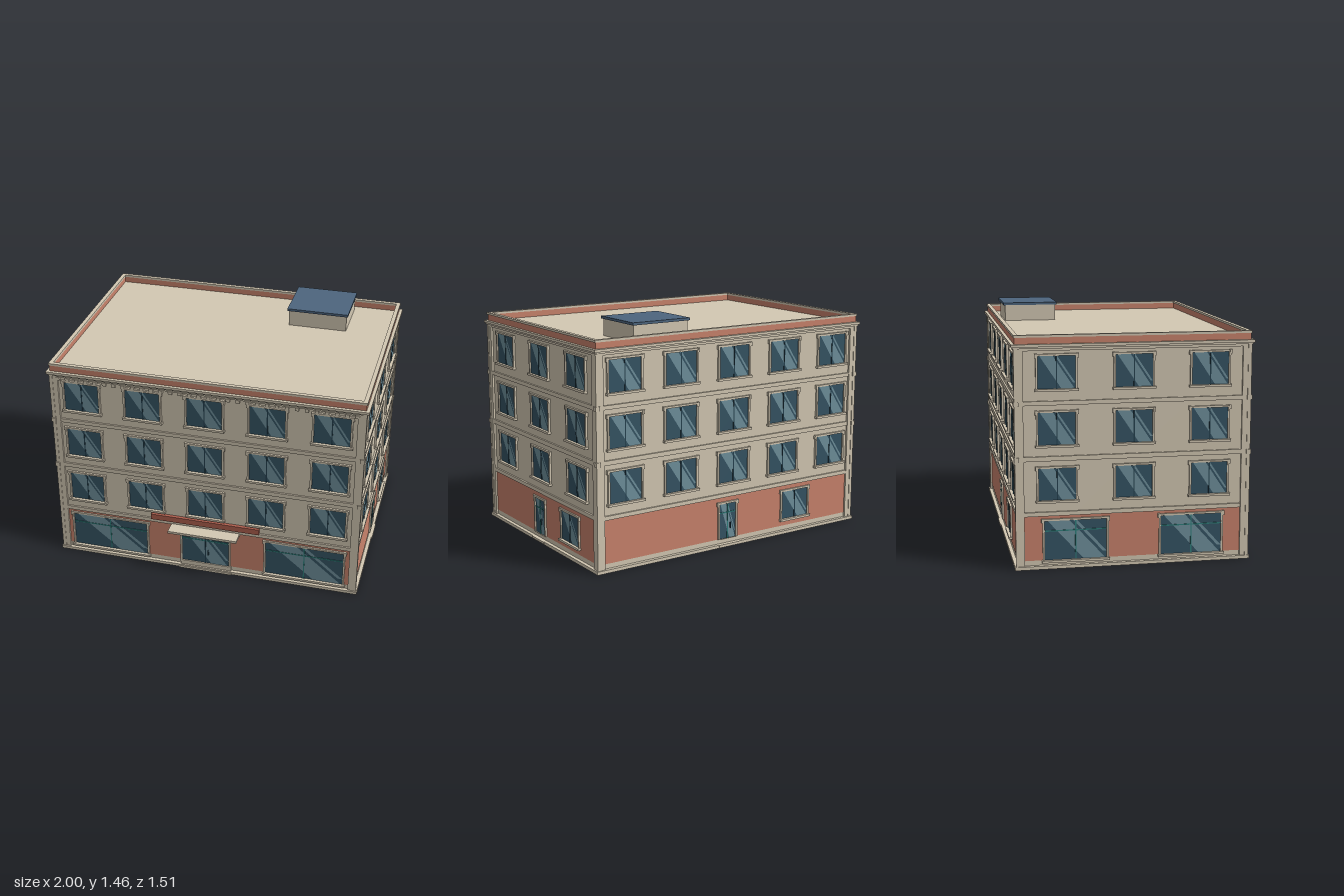
import * as THREE from 'three';

const mat = (color, side = THREE.FrontSide) => new THREE.MeshStandardMaterial({ color, side, flatShading: true });
const M = {
  stone: mat(0xd3c8b3), brick: mat(0xc9836c), sign: mat(0xb0604f), glass: mat(0x355464),
  shine: mat(0x6f909c), dark: mat(0x24404e), teal: mat(0x2f7f7c), blue: mat(0x4d657e),
};
const CZ = -0.037;            // centre of the building in z
const HX = 0.97, HZ = 0.69;   // half sizes of the wall planes

function add(parent, name, geo, material, x = 0, y = 0, z = 0) {
  const m = new THREE.Mesh(geo, material);
  m.name = name;
  m.position.set(x, y, z);
  parent.add(m);
  return m;
}

// box given by its centre x, bottom and top y, and back and front z
function block(parent, name, material, x, w, y0, y1, z0, z1) {
  return add(parent, name, new THREE.BoxGeometry(w, y1 - y0, z1 - z0), material, x, (y0 + y1) / 2, (z0 + z1) / 2);
}

// full slab of the plan, grown outwards from the wall planes
function slab(parent, name, material, grow, y0, y1) {
  return block(parent, name, material, 0, 2 * (HX + grow), y0, y1, CZ - HZ - grow, CZ + HZ + grow);
}

function poly(points) {
  return new THREE.Shape(points.map(([x, y]) => new THREE.Vector2(x, y)));
}
const rect = (w, h) => poly([[-w / 2, -h / 2], [w / 2, -h / 2], [w / 2, h / 2], [-w / 2, h / 2]]);

// rectangular ring lying flat on the roof
function ring(parent, name, material, grow, inset, y0, y1) {
  const s = rect(2 * (HX + grow), 2 * (HZ + grow));
  s.holes.push(rect(2 * (HX - inset), 2 * (HZ - inset)));
  const g = new THREE.ExtrudeGeometry(s, { depth: y1 - y0, bevelEnabled: false });
  g.rotateX(-Math.PI / 2);
  add(parent, name, g, material, 0, y0, CZ);
}

// framed pane: kind is 'window', 'shop', 'entrance' or 'door'
function opening(parent, kind, x, y0, w, h) {
  const o = new THREE.Group();
  o.name = kind;
  o.position.set(x, y0, 0);
  parent.add(o);
  block(o, 'glass', M.glass, 0, w, 0, h, 0, 0.005);

  // diagonal reflections
  const u = a => (a - 0.5) * w;
  const bands = [[0.05, 0.4], [0.46, 0.52]];
  for (const [a, b] of bands) {
    const reach = Math.min(0.58, 1 - b);
    const low = 1 - reach / 0.58;
    const s = poly([[u(a), h], [u(a + reach), low * h], [u(b + reach), low * h], [u(b), h]]);
    add(o, 'reflection', new THREE.ShapeGeometry(s), M.shine, 0, 0, 0.0065);
  }

  // surround with small ears at the top corners
  const t = 0.012;
  const s = poly([[-w / 2 - t, 0], [w / 2 + t, 0], [w / 2 + t, h + t], [-w / 2 - t, h + t]]);
  s.holes.push(poly([[-w / 2, 0.001], [-w / 2, h], [w / 2, h], [w / 2, 0.001]]));
  add(o, 'surround', new THREE.ExtrudeGeometry(s, { depth: 0.013, bevelEnabled: false }), M.stone);
  for (const side of [-1, 1]) block(o, 'surroundEar', M.stone, side * (w / 2 + t), 0.014, h - 0.012, h + t + 0.002, 0, 0.015);

  // glazing bars, sill and handle
  const glazed = kind === 'shop' || kind === 'door';
  block(o, 'mullion', glazed ? M.teal : M.dark, 0, 0.007, 0, h, 0, 0.009);
  if (kind !== 'window') block(o, 'transom', M.teal, 0, w, h * 0.73, h * 0.73 + 0.007, 0, 0.009);
  if (kind === 'window' || kind === 'shop') block(o, 'sill', M.stone, 0, w + 0.036, -0.013, 0.001, 0, 0.024);
  else block(o, 'handle', M.dark, 0.02, 0.005, h * 0.28, h * 0.45, 0.005, 0.014);
}

// wall face: local x runs along the wall, local z points outwards
function facade(parent, name, angle, x, z, columns) {
  const f = new THREE.Group();
  f.name = name;
  f.position.set(x, 0, z);
  f.rotation.y = angle;
  parent.add(f);
  for (const y of [0.413, 0.744, 1.075]) for (const c of columns) opening(f, 'window', c, y, 0.22, 0.193);
  return f;
}

export function createModel() {
  const building = new THREE.Group();
  building.name = 'building';

  // walls, plinth and storey bands
  slab(building, 'walls', M.stone, 0, 0.005, 1.32);
  slab(building, 'groundFloorWall', M.brick, 0.002, 0.05, 0.322);
  slab(building, 'plinth', M.stone, 0.023, 0, 0.02);
  for (const [y0, y1] of [[0.32, 0.345], [0.65, 0.678], [0.98, 1.005], [1.298, 1.318]]) {
    slab(building, 'storeyBand', M.stone, 0.011, y0, y1);
  }

  // corner pilasters with thicker collars at each storey
  for (const sx of [-1, 1]) for (const sz of [-1, 1]) {
    const corner = (label, size, out, y0, y1) => add(building, label, new THREE.BoxGeometry(size, y1 - y0, size), M.stone,
      sx * (HX + out - size / 2), (y0 + y1) / 2, CZ + sz * (HZ + out - size / 2));
    corner('cornerPilaster', 0.05, 0.013, 0.02, 1.31);
    corner('cornerEdge', 0.022, 0.016, 0.02, 1.31);
    for (const y of [0.65, 0.98]) corner('cornerCollar', 0.03, 0.021, y, y + 0.027);
  }

  // cornice, parapet and roof box
  slab(building, 'corniceLower', M.stone, 0.022, 1.312, 1.322);
  slab(building, 'cornice', M.stone, 0.03, 1.322, 1.338);
  ring(building, 'parapet', M.brick, 0.01, 0.008, 1.338, 1.38);
  ring(building, 'parapetCap', M.stone, 0.015, 0.011, 1.376, 1.39);
  block(building, 'roofBox', M.stone, 0.495, 0.38, 1.335, 1.442, -0.668, -0.33);
  block(building, 'roofBoxLid', M.blue, 0.495, 0.4, 1.442, 1.458, -0.68, -0.32);

  const five = [-0.785, -0.392, 0, 0.392, 0.785], three = [-0.457, 0, 0.457];

  // front: shop windows, entrance, canopy, sign board and dentils
  const front = facade(building, 'frontFacade', 0, 0, CZ + HZ, five);
  for (const x of [-0.645, 0.645]) opening(front, 'shop', x, 0.05, 0.5, 0.24);
  opening(front, 'entrance', -0.003, 0.05, 0.31, 0.24);
  block(front, 'entranceThreshold', M.stone, 0, 0.34, 0.02, 0.05, 0, 0.012);
  block(front, 'entranceStep', M.stone, 0, 0.35, 0, 0.016, 0, 0.03);
  block(front, 'canopy', M.stone, 0, 0.45, 0.31, 0.326, 0, 0.098);
  block(front, 'signBoard', M.sign, -0.003, 0.71, 0.346, 0.385, 0, 0.022);
  for (let i = 0; i < 32; i++) {
    block(front, 'dentil', M.stone, -0.93 + i * 0.06, 0.024, 1.28, 1.3, 0, 0.016);
  }

  // back and right: service door and one ground floor window
  const back = facade(building, 'backFacade', Math.PI, 0, CZ - HZ, five);
  const right = facade(building, 'sideFacadeWithDoor', Math.PI / 2, HX, CZ, three);
  for (const [f, door, win] of [[back, -0.04, 0.5], [right, -0.027, 0.358]]) {
    opening(f, 'door', door, 0.05, 0.124, 0.228);
    opening(f, 'window', win, 0.096, 0.21, 0.184);
    block(f, 'doorStep', M.stone, door, 0.155, 0.006, 0.02, 0, 0.029);
  }

  // other side: two shop windows
  const left = facade(building, 'sideFacadeWithShops', -Math.PI / 2, -HX, CZ, three);
  for (const x of [-0.35, 0.35]) opening(left, 'shop', x, 0.05, 0.37, 0.24);

  return building;
}
